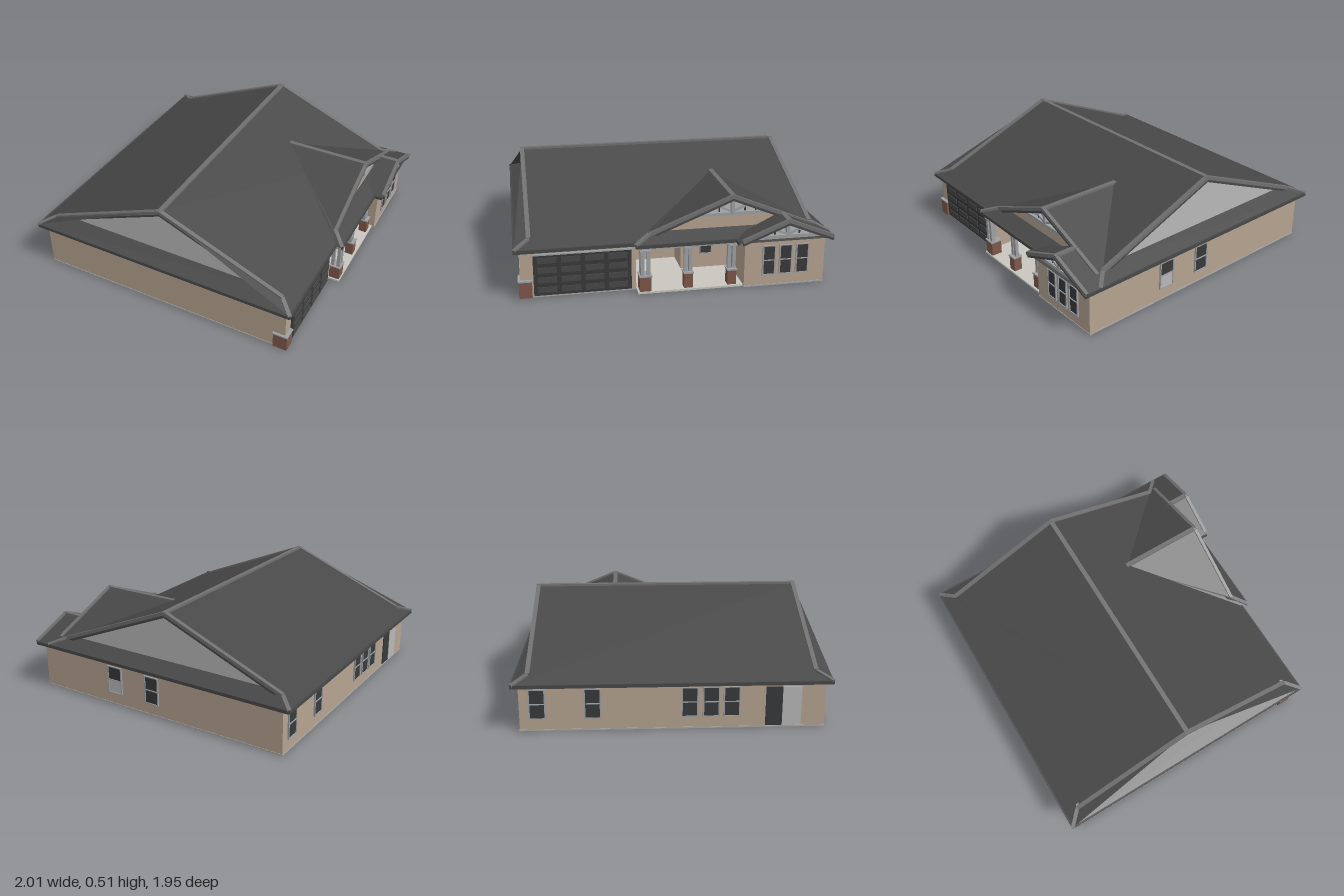
import * as THREE from 'three';

const mat = (name, color, side = THREE.FrontSide) => {
  const m = new THREE.MeshStandardMaterial({ color, side });
  m.name = name;
  return m;
};

export function createModel() {
  const roofMat = mat('roof shingle', 0x484848, THREE.DoubleSide);
  const wallMat = mat('tan siding', 0xb5a390);
  const gableMat = mat('gable grey', 0xb8b8b8, THREE.DoubleSide);
  const trimMat = mat('grey trim', 0x9da1a4);
  const capMat = mat('ridge cap', 0x707070);
  const brickMat = mat('brick', 0x7e574a);
  const darkMat = mat('dark glass', 0x38393a);
  const slabMat = mat('concrete', 0xc8c6be);
  const footMat = mat('footing', 0xa8a8a8);

  // House axes: x along the ridge, z towards the porch; turned at the end
  const house = new THREE.Group();
  house.name = 'house';
  const add = (name, geo, m, parent = house) => {
    const mesh = new THREE.Mesh(geo, m);
    mesh.name = name;
    parent.add(mesh);
    return mesh;
  };
  // Box from its limits
  const box = (name, x0, x1, y0, y1, z0, z1, m, parent) => {
    const mesh = add(name, new THREE.BoxGeometry(x1 - x0, y1 - y0, z1 - z0), m, parent);
    mesh.position.set((x0 + x1) / 2, (y0 + y1) / 2, (z0 + z1) / 2);
  };
  // Straight board between two points
  const bar = (name, a, b, w, h, m) => {
    const A = new THREE.Vector3(...a), B = new THREE.Vector3(...b);
    const mesh = new THREE.Mesh(new THREE.BoxGeometry(w, h, A.distanceTo(B)), m);
    mesh.name = name;
    mesh.position.copy(A).lerp(B, 0.5);
    mesh.lookAt(B);
    house.add(mesh);
  };
  // Flat convex polygon as a triangle fan
  const poly = (name, pts, m) => {
    const v = [];
    for (let i = 1; i < pts.length - 1; i++) v.push(...pts[0], ...pts[i], ...pts[i + 1]);
    const g = new THREE.BufferGeometry();
    g.setAttribute('position', new THREE.Float32BufferAttribute(v, 3));
    g.computeVertexNormals();
    add(name, g, m);
  };
  const toShape = pts => new THREE.Shape(pts.map(p => new THREE.Vector2(...p)));

  // Walls: a hollow ring on the floor plan, with an L-shaped porch recess
  const plan = [[-0.7, -0.652], [0.665, -0.652], [0.665, 0.686], [0.29, 0.686], [0.29, 0.45],
    [0.05, 0.45], [0.05, 0.31], [-0.19, 0.31], [-0.19, 0.62], [-0.7, 0.62]];
  const inner = plan.map((p, i) => {
    const n = plan.length, a = plan[(i + n - 1) % n], b = plan[(i + 1) % n], d = 0.015;
    const sx = Math.sign(p[0] - a[0]) + Math.sign(b[0] - p[0]);
    const sy = Math.sign(p[1] - a[1]) + Math.sign(b[1] - p[1]);
    return [p[0] - sy * d, p[1] + sx * d];
  });
  const wallShape = toShape(plan);
  wallShape.holes.push(toShape(inner.reverse()));
  add('walls', new THREE.ExtrudeGeometry(wallShape, { depth: 0.222, bevelEnabled: false })
    .rotateX(Math.PI / 2).translate(0, 0.228, 0), wallMat);
  box('roomPartition', 0.275, 0.29, 0.006, 0.222, 0.31, 0.45, wallMat);

  // Footing strips, room floor and porch slab
  box('backFooting', -0.702, 0.667, 0, 0.007, -0.654, -0.535, footMat);
  box('leftFooting', -0.702, -0.58, 0, 0.007, -0.535, 0.622, footMat);
  box('rightFooting', 0.545, 0.667, 0, 0.007, -0.535, 0.46, footMat);
  box('roomFloor', 0.29, 0.667, 0, 0.007, 0.46, 0.688, footMat);
  box('garageSill', -0.58, -0.19, 0, 0.007, 0.605, 0.622, footMat);
  box('porchFloor', -0.189, 0.289, 0, 0.009, 0.311, 0.675, slabMat);

  // Main roof: two slopes with clipped ends, gable walls and end skirts
  const zc = -0.025, ridgeY = 0.506, eaveY = 0.232, pitch = 0.409;
  const xl = -0.722, xr = 0.69, bl = -0.656, br = 0.624, zb = -0.692, zf = 0.645;
  const footY = eaveY + 0.066 * pitch;
  for (const [name, ze, s] of [['frontSlope', zf, -1], ['backSlope', zb, 1]]) {
    const zi = ze + s * 0.066;
    poly(name, [[bl, ridgeY, zc], [bl, footY, zi], [xl, eaveY, ze],
      [xr, eaveY, ze], [br, footY, zi], [br, ridgeY, zc]], roofMat);
    bar('eaveFascia', [xl, 0.226, ze], [xr, 0.226, ze], 0.008, 0.016, roofMat);
    for (const [x, xe] of [[bl, xl], [br, xr]]) {
      bar('bargeBoard', [x, footY, zi], [x, ridgeY, zc], 0.02, 0.016, capMat);
      bar('bargeShadowBoard', [x, footY - 0.014, zi], [x, ridgeY - 0.014, zc], 0.014, 0.014, roofMat);
      bar('hipCap', [xe, eaveY, ze], [x, footY, zi], 0.018, 0.012, capMat);
    }
  }
  bar('ridgeCap', [bl - 0.01, ridgeY, zc], [br + 0.01, ridgeY, zc], 0.022, 0.012, capMat);
  for (const [x, xe, s] of [[bl, xl, 1], [br, xr, -1]]) {
    const w = x + s * 0.018, top = eaveY + 0.084 * pitch;
    poly('endSkirt', [[xe, eaveY, zb], [xe, eaveY, zf], [w, top, zf - 0.07], [w, top, zb + 0.07]], roofMat);
    poly('endGable', [[w, top - 0.01, zb + 0.075], [w, top - 0.01, zf - 0.075], [w, ridgeY - 0.004, zc]], gableMat);
    bar('endFascia', [xe, 0.226, zb], [xe, 0.226, s > 0 ? zf : 0.714], 0.008, 0.016, roofMat);
  }
  // Flat soffit and ceiling under all the eaves
  const soffit = toShape([[xl, zb], [xr, zb], [xr, 0.714], [0.255, 0.714], [0.255, 0.674],
    [-0.197, 0.674], [-0.197, zf], [xl, zf]]);
  add('soffit', new THREE.ShapeGeometry(soffit).rotateX(Math.PI / 2).translate(0, 0.223, 0), roofMat);

  // Porch roof: cross gable with a skirt below it
  const px = 0.25, py = 0.411, pz = 0.615, pf = 0.256;
  poly('porchLeftSlope', [[px, py, 0.19], [px, py, pz], [-0.13, pf, pz],
    [-0.2, 0.23, 0.677], [-0.2, 0.23, 0.643]], roofMat);
  poly('porchRightSlope', [[px, py, 0.19], [px, py, pz], [0.63, pf, pz], [0.655, 0.246, 0.59]], roofMat);
  poly('porchSkirt', [[-0.13, 0.265, 0.588], [0.6, 0.265, 0.588], [0.6, 0.23, 0.677], [-0.2, 0.23, 0.677]], roofMat);
  poly('porchSkirtHip', [[-0.13, pf, pz], [-0.13, 0.265, 0.588], [-0.2, 0.23, 0.677]], roofMat);
  bar('porchFascia', [-0.2, 0.225, 0.677], [0.29, 0.225, 0.677], 0.008, 0.016, roofMat);
  bar('porchHipCap', [-0.2, 0.232, 0.677], [-0.13, 0.259, pz], 0.018, 0.012, capMat);
  bar('porchRidgeCap', [px, py, 0.2], [px, py, pz + 0.008], 0.022, 0.012, capMat);
  const porchFace = toShape([[-0.36, 0.257], [0.36, 0.257], [0.19, 0.328], [-0.19, 0.328]]);
  add('porchGablePanel', new THREE.ExtrudeGeometry(porchFace, { depth: 0.015, bevelEnabled: false }), wallMat)
    .position.set(px, 0, 0.58);

  // Room roof: small gable over the projecting front room
  const rx = 0.48, ry = 0.318, rz = 0.718;
  poly('roomLeftSlope', [[rx, ry, 0.595], [rx, ry, rz], [0.255, 0.229, rz], [0.255, 0.229, 0.635]], roofMat);
  poly('roomRightSlope', [[rx, ry, 0.595], [rx, ry, rz], [xr, 0.234, rz], [xr, 0.234, 0.6]], roofMat);
  bar('roomRidgeCap', [rx, ry, 0.61], [rx, ry, rz + 0.008], 0.022, 0.012, capMat);
  bar('roomEaveFascia', [0.255, 0.224, 0.64], [0.255, 0.224, rz], 0.008, 0.014, roofMat);

  // Decorative gable tops: backing, barge boards, tie beam, posts and braces
  const truss = (name, cx, top, half, z, zBarge, foot, footHalf) => {
    const s = (top - foot) / footHalf, base = top - half * s, beam = half - 0.03;
    poly(name + 'Backing', [[cx - half, base, z], [cx + half, base, z], [cx, top - 0.004, z]], gableMat);
    box(name + 'TieBeam', cx - beam, cx + beam, base - 0.008, base + 0.007, z, z + 0.016, trimMat);
    for (const d of [-1, 1]) {
      bar(name + 'Barge', [cx + d * footHalf, foot, zBarge], [cx, top, zBarge], 0.016, 0.016, capMat);
      bar(name + 'BargeUnder', [cx + d * footHalf, foot - 0.014, zBarge], [cx, top - 0.014, zBarge], 0.012, 0.012, roofMat);
      bar(name + 'Brace', [cx + d * half * 0.35, top - half * 0.35 * s - 0.012, z + 0.01],
        [cx, base + 0.008, z + 0.01], 0.01, 0.01, trimMat);
      for (const k of [0.3, 0.55]) {
        const x = cx + d * half * k;
        box(name + 'Slat', x - 0.003, x + 0.003, base, top - half * k * s - 0.01, z, z + 0.006, darkMat);
      }
    }
    box(name + 'KingPost', cx - 0.008, cx + 0.008, base, top - 0.014, z, z + 0.018, trimMat);
  };
  truss('porchTruss', px, py, 0.2, 0.597, pz, pf, 0.38);
  truss('roomTruss', rx, ry, 0.19, 0.69, rz, 0.233, 0.21);

  // Openings: built facing +z, then set on a wall
  const place = (name, x, z, ry) => {
    const g = new THREE.Group();
    g.name = name;
    g.position.set(x, 0, z);
    g.rotation.y = ry;
    house.add(g);
    return g;
  };
  const windowAt = (x, z, ry, w, y0 = 0.06, y1 = 0.197, lower = darkMat) => {
    const g = place('window', x, z, ry), h = w / 2, mid = (y0 + y1) / 2;
    box('upperGlass', -h, h, mid, y1, 0, 0.003, darkMat, g);
    box('lowerGlass', -h, h, y0, mid, 0, 0.003, lower, g);
    for (const d of [-h, h]) box('jamb', d - 0.003, d + 0.003, y0, y1, 0, 0.007, trimMat, g);
    for (const y of [y0, mid, y1]) box('rail', -h - 0.003, h + 0.003, y - 0.002, y + 0.002, 0, 0.007, trimMat, g);
  };
  for (const x of [0.585, 0.34, -0.092, -0.188, -0.28]) windowAt(x, -0.652, Math.PI, 0.07);
  windowAt(0.665, 0.248, Math.PI / 2, 0.078, 0.062, 0.195, gableMat);
  windowAt(0.665, 0.032, Math.PI / 2, 0.073, 0.062, 0.195);
  for (const x of [0.403, 0.481, 0.559]) windowAt(x, 0.686, 0, 0.056, 0.056, 0.193);
  windowAt(0.17, 0.45, 0, 0.056, 0.08, 0.193);

  // Sliding patio door at the back
  const patio = place('patioDoor', -0.512, -0.652, Math.PI);
  box('fixedPane', -0.08, -0.005, 0.01, 0.195, 0, 0.004, darkMat, patio);
  box('slidingPane', -0.005, 0.08, 0.01, 0.195, 0, 0.006, gableMat, patio);

  // Garage door with raised panels
  const garage = place('garageDoor', -0.427, 0.62, 0);
  box('doorLeaf', -0.216, 0.216, 0.008, 0.197, 0, 0.006, darkMat, garage);
  for (let r = 0; r < 4; r++) for (let c = 0; c < 4; c++) {
    const x = -0.208 + c * 0.104, y = 0.012 + r * 0.046;
    box('doorPanel', x + 0.01, x + 0.094, y + 0.01, y + 0.036, 0, 0.01, roofMat, garage);
  }
  box('doorHeader', -0.22, 0.22, 0.197, 0.203, 0, 0.01, trimMat, garage);

  // Brick corner by the garage
  box('brickCorner', -0.708, -0.65, 0.003, 0.078, 0.565, 0.632, brickMat);
  box('brickCornerCap', -0.711, -0.647, 0.078, 0.085, 0.562, 0.635, trimMat);

  // Porch columns: slim paired posts on brick piers, three at the corner
  for (const x of [-0.155, 0.04, 0.24]) {
    const z = 0.645, corner = x < 0, b = corner ? 0.026 : 0.02;
    box('brickPier', x - b, x + b, 0.004, 0.077, z - b, z + b, brickMat);
    box('pierCap', x - b - 0.003, x + b + 0.003, 0.077, 0.084, z - b - 0.003, z + b + 0.003, trimMat);
    const spots = corner ? [[-0.014, 0.014], [0.014, 0.014], [-0.014, -0.014]] : [[-0.011, 0], [0.011, 0]];
    for (const [dx, dz] of spots)
      box('columnPost', x + dx - 0.008, x + dx + 0.008, 0.084, 0.203, z + dz - 0.008, z + dz + 0.008, trimMat);
    box('columnHead', x - b, x + b, 0.195, 0.203, z - b, z + b, trimMat);
  }
  box('porchBeam', -0.185, 0.289, 0.203, 0.222, 0.63, 0.66, trimMat);

  house.rotation.y = Math.PI / 4 + 0.009;
  const model = new THREE.Group();
  model.add(house);
  return model;
}
